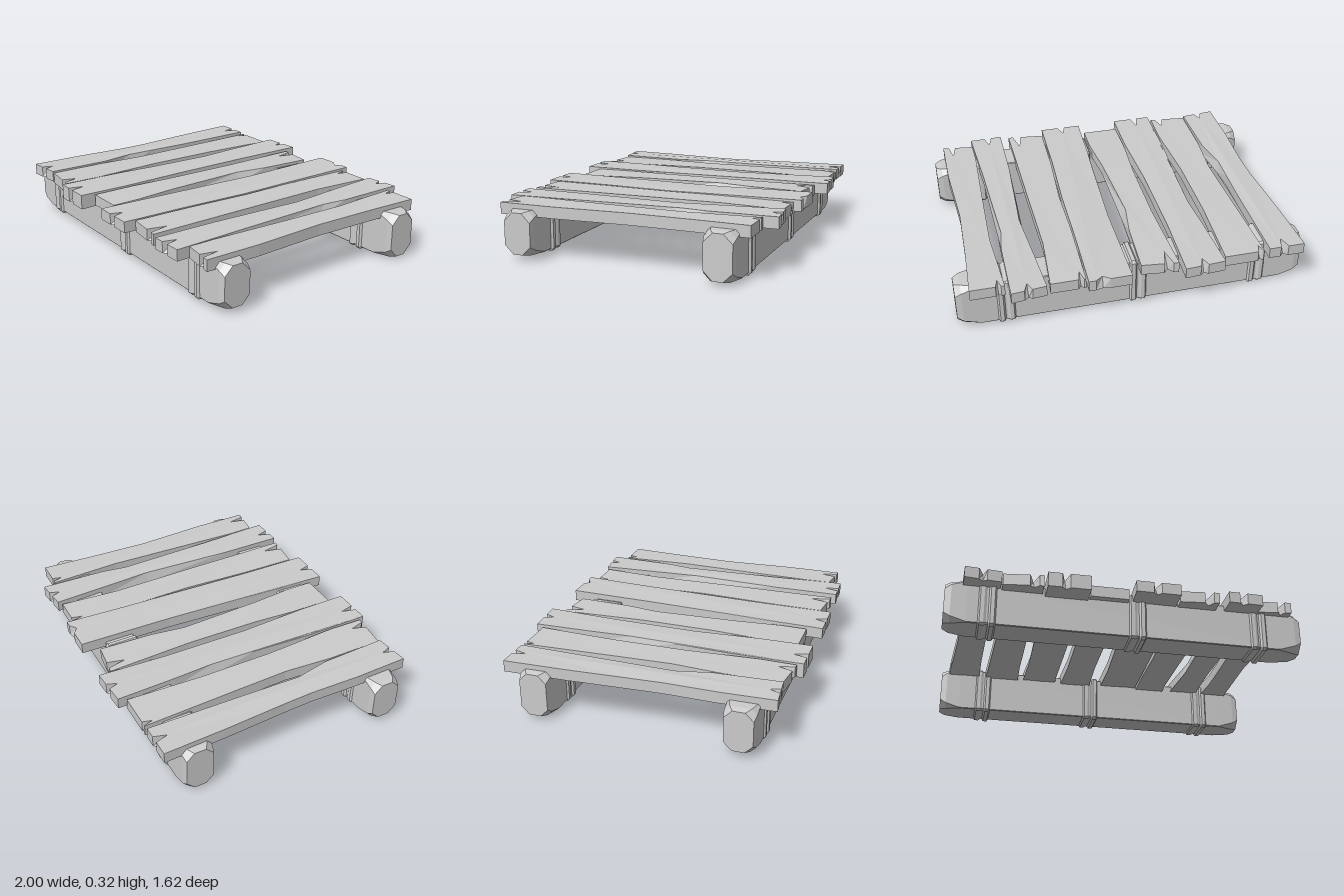
import * as THREE from 'three';

const material = new THREE.MeshStandardMaterial({ color: 0xcccccc, flatShading: true, side: THREE.DoubleSide });
const TOP = 0.305, BOTTOM = 0.24;

function meshFrom(name, triangles) {
  const geometry = new THREE.BufferGeometry().setFromPoints(triangles);
  geometry.computeVertexNormals();
  const mesh = new THREE.Mesh(geometry, material);
  mesh.name = name;
  return mesh;
}

// V-shaped split in a plank end; it is deeper on the top face than underneath
function split(a, b, [x, z, w = 0.022]) {
  const edge = (px) => a[1] + (b[1] - a[1]) * (px - a[0]) / (b[0] - a[0]);
  const s = Math.sign(b[0] - a[0]);
  const ez = edge(x);
  return [[x - s * w, edge(x - s * w)], [x, z, x, ez + (z - ez) * 0.3], [x + s * w, edge(x + s * w)]];
}

// Plank from its left and right edges (back to front, [x, z] or [x, z, bottomX, bottomZ]).
// lift = height change of [front, back] ends, sag = extra thickness of the front end
function plank(index, left, right, { front, back, lift = [0, 0], sag = 0 }) {
  const fl = left.at(-1), fr = right.at(-1), bl = left[0], br = right[0];
  const outline = [
    ...left,
    ...(front ? split(fl, fr, front) : []),
    ...right.slice().reverse(),
    ...(back ? split(br, bl, back) : []),
  ];
  const bend = (z) => (z > 0 ? lift[0] : lift[1]) * Math.abs(z) / 0.78;
  const top = outline.map(([x, z]) => new THREE.Vector3(x, TOP + bend(z), z));
  const low = outline.map(([x, z, bx = x, bz = z]) =>
    new THREE.Vector3(bx, BOTTOM + bend(bz) - sag * Math.max(0, bz) / 0.78, bz));
  const faces = THREE.ShapeUtils.triangulateShape(outline.map(([x, z]) => new THREE.Vector2(x, -z)), []);
  const tris = [];
  for (const [a, b, c] of faces) tris.push(top[a], top[b], top[c], low[a], low[c], low[b]);
  outline.forEach((_, i) => {
    const j = (i + 1) % outline.length;
    tris.push(low[i], low[j], top[j], low[i], top[j], top[i]);
  });
  return meshFrom('plank' + index, tris);
}

// Bar along x lofted through sections [x, grow, cornerCut] of a clipped rectangle
function loft(name, { z0, z1, y0, y1 }, sections) {
  const rings = sections.map(([x, g, c]) => {
    const a = z0 - g, b = z1 + g, d = y0 - g, u = y1 + g;
    return [[b - c, d], [a + c, d], [a, d + c], [a, u - c], [a + c, u], [b - c, u], [b, u - c], [b, d + c]]
      .map(([z, y]) => new THREE.Vector3(x, y, z));
  });
  const tris = [], n = 8, last = rings.at(-1), first = rings[0];
  for (let k = 0; k < rings.length - 1; k++) {
    const p = rings[k], q = rings[k + 1];
    for (let i = 0; i < n; i++) {
      const j = (i + 1) % n;
      tris.push(p[i], p[j], q[j], p[i], q[j], q[i]);
    }
  }
  for (let i = 1; i < n - 1; i++) tris.push(last[0], last[i], last[i + 1], first[0], first[i + 1], first[i]);
  return meshFrom(name, tris);
}

// Beam with chipped ends and three double-ridged straps
function beam(name, box, xMin, xMax, straps) {
  const group = new THREE.Group();
  group.name = name;
  group.add(loft(name + 'Timber', box, [
    [xMin, -0.008, 0.045], [xMin + 0.035, 0, 0.03], [xMin + 0.12, 0, 0.004],
    [xMax - 0.13, 0, 0.004], [xMax - 0.035, 0, 0.035], [xMax, -0.008, 0.05],
  ]));
  straps.forEach((x, i) => group.add(loft(name + 'Strap' + (i + 1), box, [
    [x - 0.05, -0.002, 0.006], [x - 0.04, 0.01, 0.012], [x - 0.018, 0.01, 0.012], [x - 0.004, 0.002, 0.008],
    [x + 0.006, 0.002, 0.008], [x + 0.016, 0.013, 0.014], [x + 0.038, 0.013, 0.014], [x + 0.048, -0.002, 0.006],
  ])));
  return group;
}

export function createModel() {
  const model = new THREE.Group();
  model.name = 'woodenPallet';

  // Supporting beams
  model.add(beam('frontBeam', { z0: 0.498, z1: 0.672, y0: 0.03, y1: 0.278 }, -1, 0.99, [-0.77, 0.05, 0.74]));
  model.add(beam('backBeam', { z0: -0.655, z1: -0.482, y0: 0.014, y1: 0.278 }, -0.98, 1, [-0.71, -0.01, 0.73]));

  // Deck planks, from the right side of the pallet to the left
  const deck = new THREE.Group();
  deck.name = 'deck';
  model.add(deck);
  deck.add(plank(1,
    [[-0.945, -0.755], [-0.93, -0.4], [-0.905, -0.02], [-0.9, 0.15], [-0.91, 0.45], [-0.905, 0.76]],
    [[-0.74, -0.755], [-0.745, -0.25], [-0.75, 0], [-0.755, 0.16, -0.74, 0.14], [-0.715, 0.36], [-0.705, 0.74]],
    { front: [-0.805, 0.69], back: [-0.83, -0.68], lift: [0.012, 0.004] }));
  deck.add(plank(2,
    [[-0.71, -0.755], [-0.69, -0.2], [-0.68, 0.12], [-0.7, 0.4], [-0.7, 0.735]],
    [[-0.48, -0.755], [-0.5, -0.3], [-0.5, 0.13], [-0.475, 0.55], [-0.48, 0.76]],
    { front: [-0.53, 0.67, 0.025], back: [-0.69, -0.7, 0.015], lift: [0.002, -0.004] }));
  deck.add(plank(3,
    [[-0.465, -0.8], [-0.45, -0.45], [-0.435, -0.22, -0.45, -0.2], [-0.445, 0.05], [-0.465, 0.4], [-0.465, 0.795]],
    [[-0.235, -0.815], [-0.25, -0.4], [-0.25, 0.1], [-0.23, 0.5], [-0.23, 0.795]],
    { front: [-0.365, 0.71], back: [-0.345, -0.75], lift: [0.006, 0.006], sag: 0.02 }));
  deck.add(plank(4,
    [[-0.22, -0.74], [-0.2, -0.24], [-0.205, 0.2], [-0.22, 0.45], [-0.22, 0.71]],
    [[-0.01, -0.715], [-0.025, -0.4], [-0.055, -0.2, -0.03, -0.2], [-0.03, 0.3], [-0.005, 0.55], [-0.005, 0.71]],
    { back: [-0.165, -0.63, 0.025], lift: [-0.004, -0.006] }));
  deck.add(plank(5,
    [[0.06, -0.8], [0.06, -0.24], [0.04, 0.2], [0.025, 0.5], [0.015, 0.8]],
    [[0.3, -0.8], [0.29, -0.4], [0.285, 0], [0.27, 0.4], [0.265, 0.8]],
    { front: [0.135, 0.73], back: [0.22, -0.77, 0.04], lift: [0.003, 0.01] }));
  deck.add(plank(6,
    [[0.305, -0.755], [0.295, -0.3], [0.3, 0], [0.28, 0.4], [0.275, 0.735]],
    [[0.5, -0.755], [0.475, -0.4], [0.485, 0.13], [0.49, 0.5], [0.495, 0.76]],
    { front: [0.44, 0.64, 0.025], back: [0.33, -0.69, 0.015], lift: [0, -0.003] }));
  deck.add(plank(7,
    [[0.52, -0.775], [0.545, -0.45], [0.57, -0.16, 0.555, -0.16], [0.545, 0.4], [0.545, 0.78]],
    [[0.715, -0.795], [0.71, -0.4], [0.69, -0.25, 0.705, -0.2], [0.715, 0.35], [0.74, 0.775]],
    { front: [0.63, 0.7], back: [0.62, -0.73], lift: [0.003, 0.006] }));
  deck.add(plank(8,
    [[0.735, -0.715], [0.76, -0.3], [0.75, 0.08], [0.735, 0.55], [0.74, 0.7]],
    [[0.925, -0.715], [0.91, -0.4], [0.9, -0.03], [0.925, 0.4], [0.925, 0.725]],
    { front: [0.87, 0.62, 0.02], back: [0.77, -0.66, 0.015], lift: [0.002, 0.002] }));
  return model;
}
